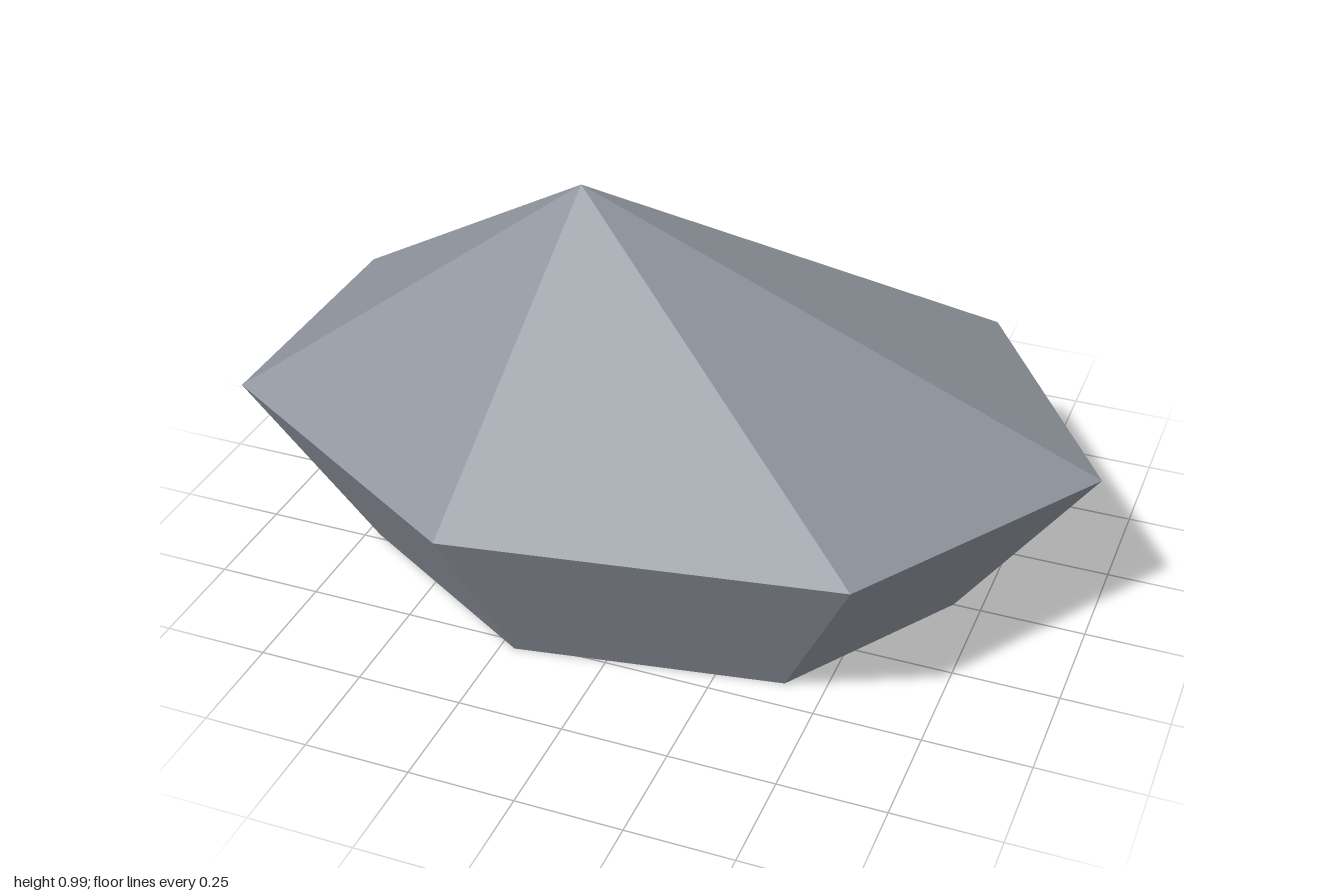
import * as THREE from 'three';

const SIDES = 7, RADIUS = 1.052, CENTRE_X = -0.052, SQUASH = 0.735;
const RIM_Y = 0.43, TOP_Y = 0.993, BASE_RATIO = 0.7;

export function createModel() {
  const model = new THREE.Group();
  model.name = 'tent';

  // Open, thin shell, so both faces show
  const grey = new THREE.MeshStandardMaterial({ color: 0x8f949d, flatShading: true, side: THREE.DoubleSide });
  grey.name = 'slate grey';

  // Squashed seven-sided ring section with its first corner at +x
  function ringSection(name, topRadius, bottomRadius, y0, y1) {
    const geometry = new THREE.CylinderGeometry(topRadius, bottomRadius, y1 - y0, SIDES, 1, true, Math.PI / 2);
    geometry.scale(1, 1, SQUASH);
    geometry.translate(CENTRE_X, (y0 + y1) / 2, 0);
    const mesh = new THREE.Mesh(geometry, grey);
    mesh.name = name;
    model.add(mesh);
    return geometry;
  }

  // Walls lean outward from the open base to the rim
  ringSection('walls', RADIUS, RADIUS * BASE_RATIO, 0, RIM_Y);

  // Pointed roof with its peak moved off centre
  const roof = ringSection('roof', 0, RADIUS, RIM_Y, TOP_Y);
  const position = roof.attributes.position;
  for (let i = 0; i < position.count; i++) {
    if (position.getY(i) > TOP_Y - 0.01) position.setXYZ(i, -0.21, TOP_Y, 0.095);
  }
  roof.computeVertexNormals();

  return model;
}
